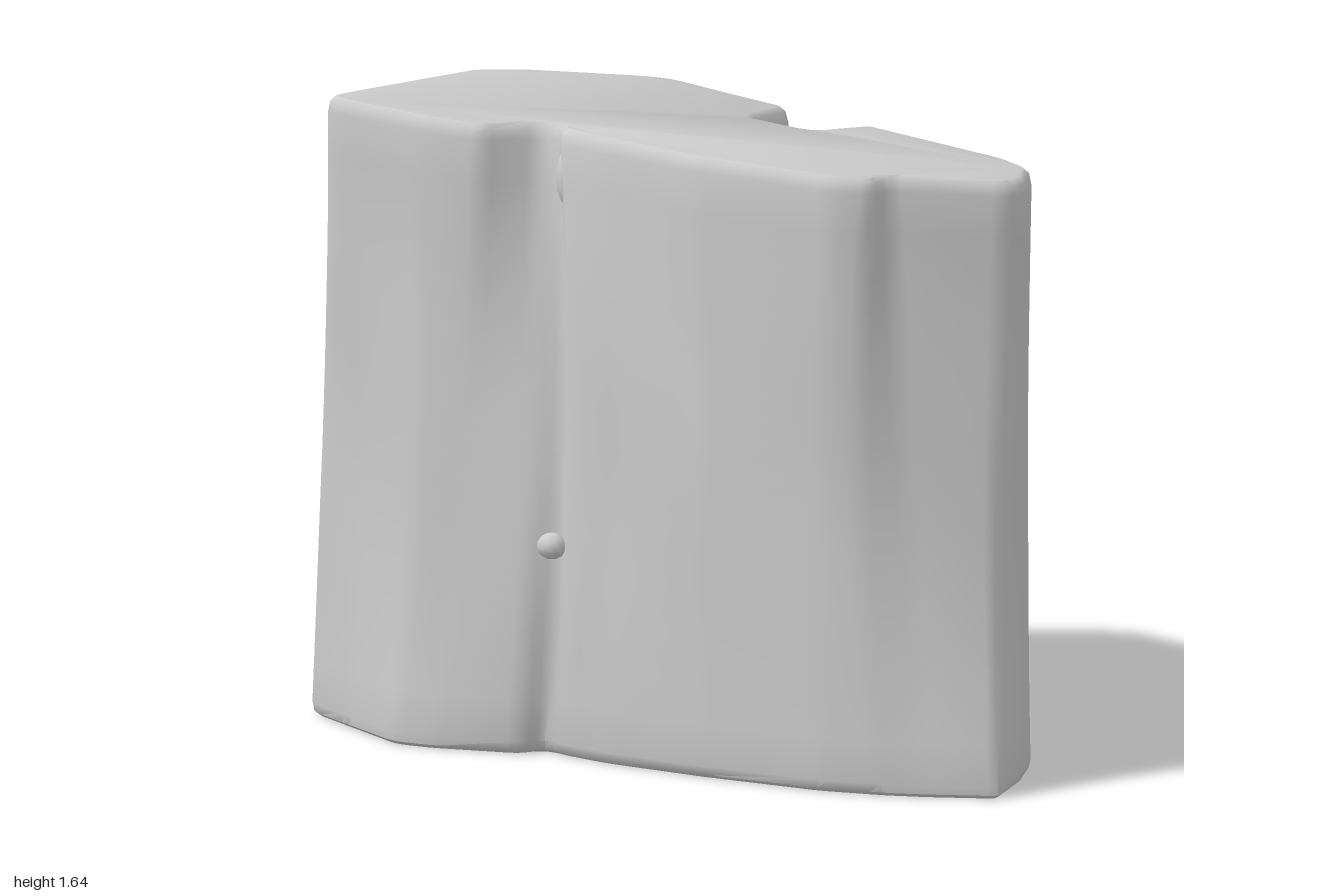
import * as THREE from 'three';
import { toCreasedNormals } from 'three/addons/utils/BufferGeometryUtils.js';

// Matching corner outlines [x, z] of the trunk at the foot, the middle and the top.
const FOOT = [
  [-1, 0], [-0.92, 0.45], [-0.88, 0.48], [-0.72, 0.51], [-0.5, 0.55], [-0.4, 0.51], [-0.2, 0.38], [-0.18, 0.31],
  [-0.1, 0.31], [0.03, 0.29], [0.3, 0.21], [0.62, 0.09], [0.77, 0], [0.86, -0.07], [1, -0.2],
  [0.9, -0.36], [0.78, -0.5], [0.62, -0.53], [0.22, -0.52], [0.16, -0.35], [-0.01, -0.33],
  [-0.03, -0.5], [-0.3, -0.5], [-0.62, -0.48], [-0.7, -0.42], [-0.9, -0.2],
];
const MIDDLE = [
  [-0.95, -0.03], [-0.87, 0.45], [-0.84, 0.48], [-0.7, 0.48], [-0.48, 0.48], [-0.36, 0.42], [-0.2, 0.34], [-0.14, 0.28],
  [-0.1, 0.29], [0.03, 0.25], [0.3, 0.19], [0.6, 0.06], [0.68, 0.0], [0.74, -0.11], [0.88, -0.29],
  [0.87, -0.38], [0.77, -0.5], [0.62, -0.52], [0.17, -0.5], [0.14, -0.34], [-0.04, -0.32],
  [-0.08, -0.49], [-0.3, -0.48], [-0.58, -0.47], [-0.66, -0.42], [-0.87, -0.2],
];
const TOP = [
  [-0.9, -0.07], [-0.82, 0.44], [-0.8, 0.51], [-0.72, 0.51], [-0.5, 0.47], [-0.31, 0.41], [-0.28, 0.24], [-0.22, 0.21],
  [-0.2, 0.25], [0, 0.22], [0.25, 0.18], [0.61, 0.04], [0.69, -0.04], [0.67, -0.11], [0.87, -0.33],
  [0.87, -0.4], [0.76, -0.52], [0.62, -0.55], [0.13, -0.52], [0.11, -0.34], [-0.1, -0.31],
  [-0.14, -0.49], [-0.3, -0.48], [-0.56, -0.47], [-0.63, -0.43], [-0.84, -0.2],
];

const material = new THREE.MeshStandardMaterial({ color: 0xcccccc });

// Quadratic blend through the three outlines, t running from foot to top.
function outline(t) {
  const a = 2 * (t - 0.5) * (t - 1), b = 4 * t * (1 - t), c = 2 * t * (t - 0.5);
  return FOOT.map((p, i) => new THREE.Vector2(
    a * p[0] + b * MIDDLE[i][0] + c * TOP[i][0],
    a * p[1] + b * MIDDLE[i][1] + c * TOP[i][1]));
}

// Replaces each corner with three points on a small curve.
function soften(points) {
  const out = [];
  points.forEach((p, i) => {
    const n = points.length, prev = points[(i + n - 1) % n], next = points[(i + 1) % n];
    const toward = q => p.clone().lerp(q, Math.min(0.35, 0.03 / p.distanceTo(q)));
    const a = toward(prev), b = toward(next);
    out.push(a, a.clone().add(b).multiplyScalar(0.25).addScaledVector(p, 0.5), b);
  });
  return out;
}

// Moves a closed outline inward along its normals.
function inset(points, amount) {
  const n = points.length;
  return points.map((p, i) => {
    const d = points[(i + 1) % n].clone().sub(points[(i + n - 1) % n]).normalize();
    return new THREE.Vector2(p.x + d.y * amount, p.y - d.x * amount);
  });
}

const topHeight = (x, z) => 1.605 + 0.06 * z - 0.01 * x;

function trunkGeometry() {
  // Each level: height fraction and how far its rim is drawn in.
  const levels = [[0, 0.02], [0.006, 0.006], [0.02, 0]];
  for (let i = 1; i <= 14; i++) levels.push([0.02 + 0.955 * i / 14, 0]);
  levels.push([0.992, 0.006], [1, 0.02]);

  const positions = [], index = [];
  let ring;
  levels.forEach(([t, draw]) => {
    // Gentle waves give the sides a weathered bark surface.
    ring = inset(soften(outline(t)), draw).map(p => {
      const wave = 0.005 * Math.sin(t * 11 + p.x * 9) * Math.sin(t * Math.PI);
      return new THREE.Vector2(p.x + wave, p.y + wave);
    });
    ring.forEach(p => positions.push(p.x, 0.005 * (1 - t) + t * topHeight(p.x, p.y), p.y));
  });

  const n = ring.length;
  for (let k = 0; k < levels.length - 1; k++) {
    for (let i = 0; i < n; i++) {
      const a = k * n + i, b = k * n + (i + 1) % n;
      index.push(a, b, b + n, a, b + n, a + n);
    }
  }
  // Flat cut faces at both ends.
  const last = (levels.length - 1) * n;
  const cap = (t, draw) => THREE.ShapeUtils.triangulateShape(
    inset(soften(outline(t)), draw).map(p => new THREE.Vector2(p.x, -p.y)), []);
  cap(1, 0.02).forEach(([a, b, c]) => index.push(last + a, last + b, last + c));
  cap(0, 0.02).forEach(([a, b, c]) => index.push(a, c, b));

  const geometry = new THREE.BufferGeometry();
  geometry.setAttribute('position', new THREE.Float32BufferAttribute(positions, 3));
  geometry.setIndex(index);
  return toCreasedNormals(geometry, 0.75);
}

export function createModel() {
  const group = new THREE.Group();
  group.name = 'stump';

  const trunk = new THREE.Mesh(trunkGeometry(), material);
  trunk.name = 'trunk';
  group.add(trunk);

  // Small knots along the front groove.
  const knots = [
    ['lowerKnot', -0.15, 0.55, 0.31, 0.04, 0.035, 0.04],
    ['upperKnot', -0.18, 1.49, 0.22, 0.045, 0.08, 0.035],
  ];
  for (const [name, x, y, z, sx, sy, sz] of knots) {
    const knot = new THREE.Mesh(new THREE.SphereGeometry(1, 12, 8), material);
    knot.name = name;
    knot.position.set(x, y, z);
    knot.scale.set(sx, sy, sz);
    group.add(knot);
  }
  return group;
}
